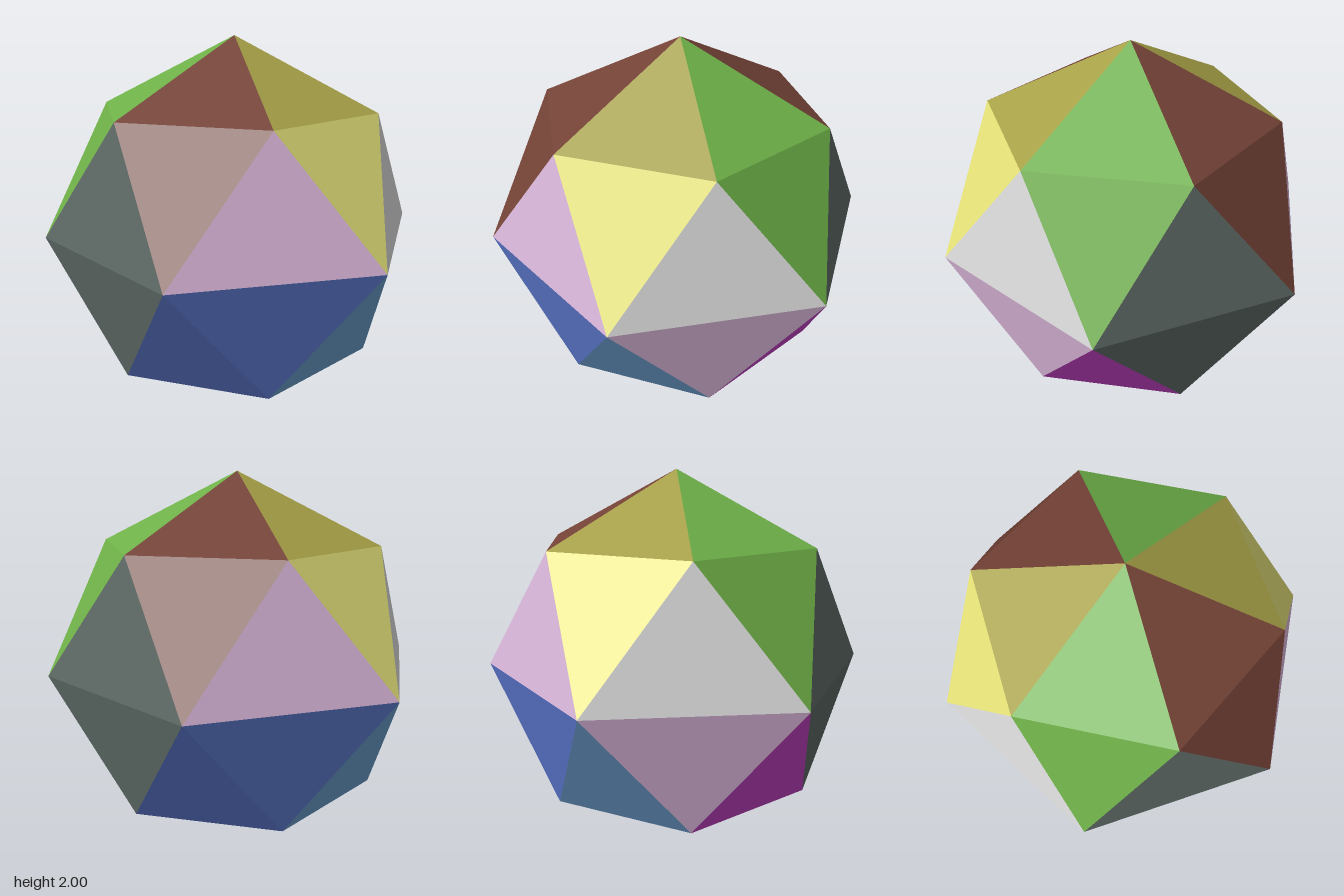
import * as THREE from 'three';

const paint = (name, color) => {
  const m = new THREE.MeshStandardMaterial({ color });
  m.name = name;
  return m;
};

export function createModel() {
  const olive = paint('olive', 0xa6a047);
  const yellow = paint('yellow', 0xe4e178);
  const green = paint('green', 0x6eb048);
  const brown = paint('brown', 0x744236);
  const gray = paint('light gray', 0xdcdcdc);
  const pink = paint('pink', 0xdcb8dc);
  const slate = paint('slate', 0x5e6a66);
  const sky = paint('sky blue', 0x6fa4d6);
  const blue = paint('blue', 0x5a76ca);
  const magenta = paint('magenta', 0xcc42cc);

  const model = new THREE.Group();
  model.name = 'facetedBall';

  // Points on rings around the y axis; k counts sixths of a turn from the front
  const at = (radius, y, k) => {
    const a = k * Math.PI / 3;
    return new THREE.Vector3(radius * Math.sin(a), y, radius * Math.cos(a));
  };
  const equator = k => at(1, 1, k);
  const ring = (k, side) => at(0.736, 1 + side * 0.64, k + 0.5);

  // One flat triangle; corners are flipped on the lower half
  const facet = (name, material, side, a, b, c) => {
    const points = side > 0 ? [a, b, c] : [a, c, b];
    const geometry = new THREE.BufferGeometry().setFromPoints(points);
    geometry.computeVertexNormals();
    const mesh = new THREE.Mesh(geometry, material);
    mesh.name = name;
    model.add(mesh);
  };

  // Colours repeat every half turn
  const halves = [
    { name: 'upper', side: 1, cap: [olive, green, brown],
      point: [yellow, green, brown], band: [gray, slate, pink] },
    { name: 'lower', side: -1, cap: [slate, slate, slate],
      point: [sky, magenta, blue], band: [pink, slate, blue] },
  ];

  for (const { name, side, cap, point, band } of halves) {
    const pole = new THREE.Vector3(0, 1 + side, 0);
    for (let k = 0; k < 6; k++) {
      const c = k % 3;
      const left = ring(k - 1, side), right = ring(k, side);
      facet(name + 'CapFacet', cap[c], side, pole, left, right);
      facet(name + 'PointFacet', point[c], side, left, equator(k), right);
      facet(name + 'BandFacet', band[c], side, right, equator(k), equator(k + 1));
    }
  }
  return model;
}
